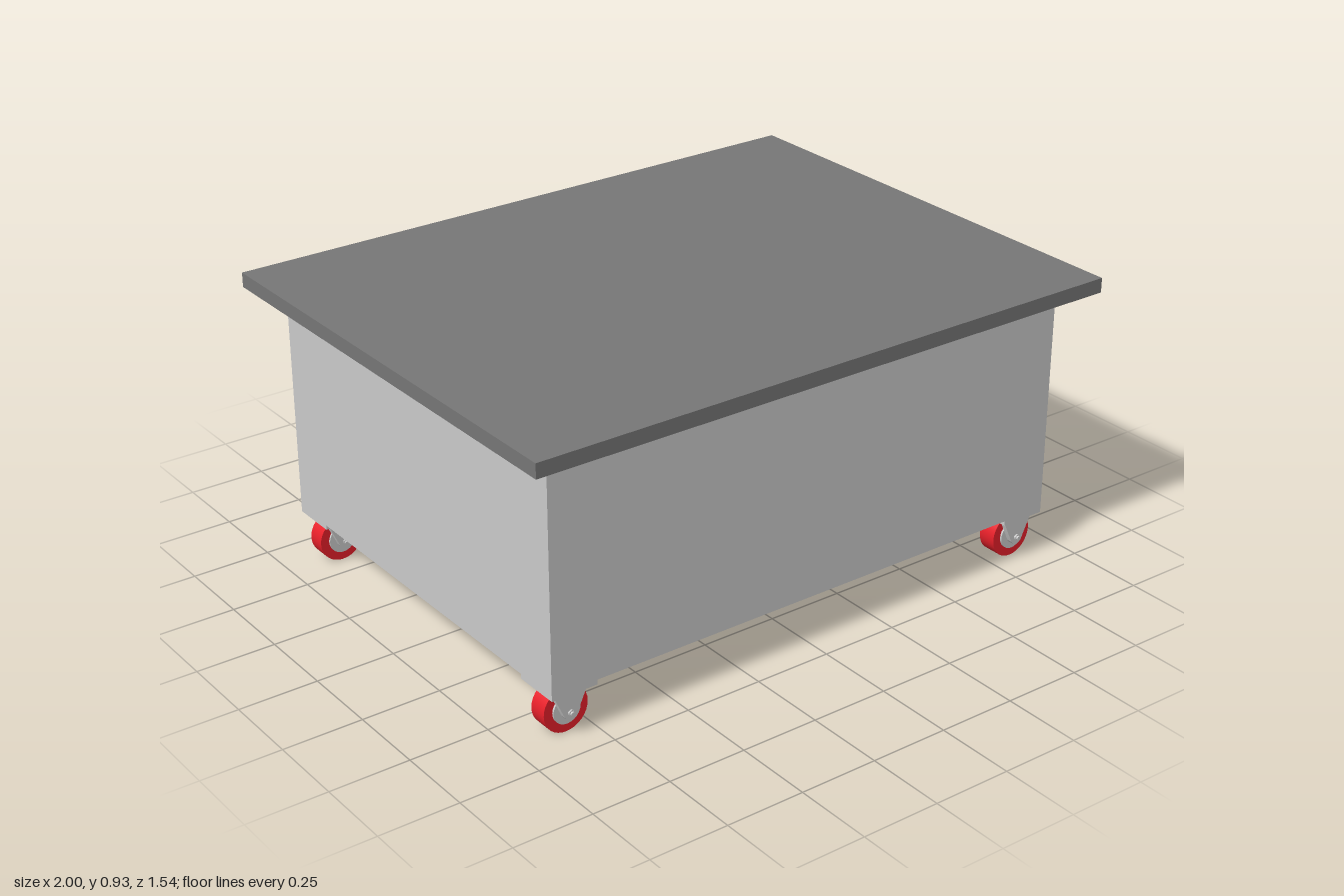
import * as THREE from 'three';
import { toCreasedNormals } from 'three/addons/utils/BufferGeometryUtils.js';

const WHEEL_R = 0.073;

function material(color) {
  return new THREE.MeshStandardMaterial({ color });
}

function addMesh(parent, name, geometry, mat, x = 0, y = 0, z = 0) {
  const mesh = new THREE.Mesh(geometry, mat);
  mesh.name = name;
  mesh.position.set(x, y, z);
  parent.add(mesh);
  return mesh;
}

// Cylinder lying along z
function axleCylinder(r, length, sides) {
  return new THREE.CylinderGeometry(r, r, length, sides).rotateX(Math.PI / 2);
}

// Fork cheek: wide at the mounting plate, tapering to a round end at the axle
function cheekGeometry(thickness) {
  const s = new THREE.Shape();
  s.moveTo(-0.053, 0.072);
  s.lineTo(-0.05, 0.055);
  s.lineTo(-0.022, -0.006);
  s.absarc(0, 0, 0.023, Math.PI * 1.08, Math.PI * 1.92, false);
  s.lineTo(0.05, 0.055);
  s.lineTo(0.053, 0.072);
  s.closePath();
  const g = new THREE.ExtrudeGeometry(s, { depth: thickness, bevelEnabled: false, curveSegments: 12 });
  return toCreasedNormals(g.translate(0, 0, -thickness / 2), 0.6);
}

// Square mounting plate with a bolt hole in each corner
function plateGeometry() {
  const h = 0.075, hole = 0.057;
  const s = new THREE.Shape();
  s.moveTo(-h, -h);
  s.lineTo(h, -h);
  s.lineTo(h, h);
  s.lineTo(-h, h);
  s.closePath();
  for (const x of [-hole, hole]) for (const y of [-hole, hole]) {
    const p = new THREE.Path();
    p.absarc(x, y, 0.007, 0, Math.PI * 2, true);
    s.holes.push(p);
  }
  return new THREE.ExtrudeGeometry(s, { depth: 0.015, bevelEnabled: false, curveSegments: 8 }).rotateX(-Math.PI / 2);
}

function createCaster(grey, red) {
  const caster = new THREE.Group();
  caster.name = 'caster';
  addMesh(caster, 'mountingPlate', plateGeometry(), grey, 0, 0.145, 0);
  addMesh(caster, 'wheel', axleCylinder(WHEEL_R, 0.06, 32), red, 0, WHEEL_R, 0);
  addMesh(caster, 'hub', axleCylinder(0.045, 0.072, 24), grey, 0, WHEEL_R, 0);
  addMesh(caster, 'axle', axleCylinder(0.007, 0.134, 12), grey, 0, WHEEL_R, 0);
  const cheek = cheekGeometry(0.018);
  const nut = axleCylinder(0.011, 0.006, 6);
  for (const side of [-1, 1]) {
    addMesh(caster, 'forkCheek', cheek, grey, 0, WHEEL_R, side * 0.046);
    addMesh(caster, 'axleNut', nut, grey, 0, WHEEL_R, side * 0.058);
  }
  return caster;
}

export function createModel() {
  const model = new THREE.Group();
  model.name = 'rollingWorkbench';
  const grey = material(0xcccccc);
  const dark = material(0x777777);
  const red = material(0xe8202a);

  // Cabinet and overhanging worktop
  addMesh(model, 'cabinet', new THREE.BoxGeometry(1.814, 0.725, 1.36), grey, 0, 0.5225, 0);
  addMesh(model, 'worktop', new THREE.BoxGeometry(2, 0.046, 1.544), dark, 0, 0.908, 0);

  // One caster under each corner
  const caster = createCaster(grey, red);
  for (const x of [-1, 1]) for (const z of [-1, 1]) {
    const c = caster.clone();
    c.position.set(x * 0.832, 0, z * 0.605);
    model.add(c);
  }
  return model;
}
